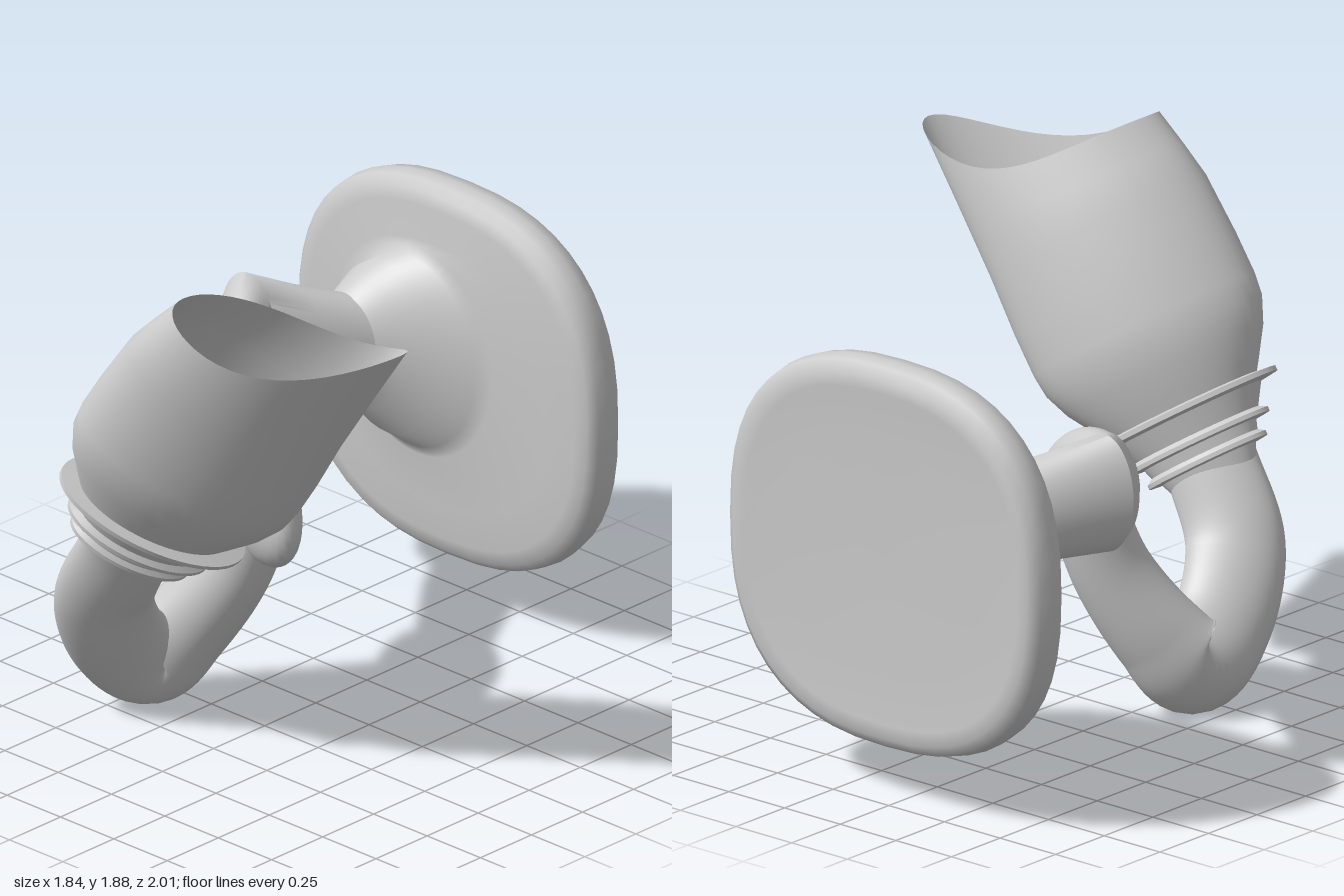
import * as THREE from 'three';
import { toCreasedNormals } from 'three/addons/utils/BufferGeometryUtils.js';

const N = 48;
const V = (x, y, z) => new THREE.Vector3(x, y, z);
const grey = (side = THREE.FrontSide) => new THREE.MeshStandardMaterial({ color: 0xcccccc, side });

// Skin a list of closed rings; rings run counter-clockwise about the loft direction
function loft(rings) {
  const pos = [], index = [];
  rings.forEach(r => r.forEach(p => pos.push(p.x, p.y, p.z)));
  for (let i = 0; i < rings.length - 1; i++) {
    for (let j = 0; j < N; j++) {
      const a = i * N + j, b = i * N + (j + 1) % N;
      index.push(a, b, a + N, b, b + N, a + N);
    }
  }
  const g = new THREE.BufferGeometry();
  g.setAttribute('position', new THREE.Float32BufferAttribute(pos, 3));
  g.setIndex(index);
  g.computeVertexNormals();
  return g;
}

const ring = fn => Array.from({ length: N }, (_, j) => fn((j / N) * Math.PI * 2));

// Superellipse ring at constant z
function flatRing(cx, cy, z, rx, ry, n = 2) {
  const p = c => Math.sign(c) * Math.abs(c) ** (2 / n);
  return ring(t => V(cx + rx * p(Math.cos(t)), cy + ry * p(Math.sin(t)), z));
}

// Tilted frame shared by shade and collar; each ring is a skewed ellipse
const AXIS = V(0.56, 0.83, 0), ACROSS = V(0.83, -0.56, 0), SKEW = 0.6;
function shadeRing(r, heightAt, shift = 0) {
  return ring(t => V(0, 0, 0.705 + r * 0.86 * Math.sin(-t - SKEW))
    .addScaledVector(ACROSS, -0.6 + shift + r * Math.cos(t))
    .addScaledVector(AXIS, heightAt(Math.cos(t))));
}

// Tube with an elliptical section: stations are [x, y, z, half depth, half width]
function ovalTube(stations, steps) {
  const path = new THREE.CatmullRomCurve3(stations.map(([x, y, z]) => V(x, y, z)));
  const sizes = new THREE.CatmullRomCurve3(stations.map(s => V(s[3], s[4], 0)));
  return loft(Array.from({ length: steps + 1 }, (_, i) => {
    const c = path.getPoint(i / steps), size = sizes.getPoint(i / steps), T = path.getTangent(i / steps);
    const m = V(1, 0, 1).projectOnPlane(T).normalize();
    const n = T.clone().cross(m);
    return ring(t => c.clone().addScaledVector(m, size.y * Math.cos(t)).addScaledVector(n, size.x * Math.sin(t)));
  }));
}

export function createModel() {
  const model = new THREE.Group();
  const add = (name, geometry, material = grey()) => {
    const m = new THREE.Mesh(geometry, material);
    m.name = name;
    model.add(m);
    return m;
  };

  // Rounded-square wall plate [scale, z] flowing into the flared arm socket
  const plate = [[0.001, -0.985], [0.6, -0.987], [0.86, -0.995], [0.93, -1], [0.985, -0.97], [1, -0.92],
    [0.99, -0.87], [0.95, -0.842], [0.88, -0.832], [0.7, -0.823]];
  const flare = [[-0.3, 0.96, -0.812, 0.345, 0.385], [-0.32, 0.96, -0.795, 0.305, 0.35],
    [-0.38, 0.97, -0.74, 0.25, 0.315], [-0.43, 0.99, -0.68, 0.18, 0.23], [-0.46, 1.0, -0.63, 0.14, 0.175]];
  add('wallPlate', loft([
    ...plate.map(([s, z]) => flatRing(-0.21, 0.89, z, 0.71 * s, 0.69 * s, 2.5)),
    ...flare.map(f => flatRing(...f)),
  ]));

  // Bent arm: [x, y, z, half width, half height]
  const arm = [[-0.46, 1.0, -0.65, 0.14, 0.175], [-0.565, 1.035, -0.5, 0.133, 0.19],
    [-0.67, 1.07, -0.37, 0.13, 0.21], [-0.61, 1.05, -0.27, 0.13, 0.195],
    [-0.31, 0.92, 0, 0.115, 0.14], [-0.3, 0.92, 0.02, 0.001, 0.001]];
  add('bentArm', toCreasedNormals(loft(arm.map(f => flatRing(...f))), 0.9));

  // Flattened knuckle between the arm and the hook
  const knuckle = add('knuckle', new THREE.SphereGeometry(1, 40, 24));
  const d = V(0.8, -0.42, 0.36).normalize();
  const side = d.clone().cross(V(0, 1, 0)).normalize();
  const up = side.clone().cross(d);
  knuckle.quaternion.setFromRotationMatrix(new THREE.Matrix4().makeBasis(d, up, side));
  knuckle.scale.set(0.33, 0.205, 0.125);
  knuckle.position.set(-0.155, 0.83, 0.14);

  // Hooked oval tube under the shade
  add('hookTube', ovalTube([
    [-0.13, 0.76, 0.15, 0.13, 0.14], [-0.2, 0.52, 0.21, 0.14, 0.14], [-0.33, 0.3, 0.3, 0.16, 0.13],
    [-0.41, 0.195, 0.38, 0.18, 0.12], [-0.41, 0.3, 0.53, 0.175, 0.1], [-0.35, 0.53, 0.67, 0.17, 0.09],
    [-0.2, 0.78, 0.715, 0.16, 0.09]], 60));

  // Stepped collar with three thin rims: [radius, height along the axis]
  const collar = [[0.13, 0.47], [0.15, 0.53], [0.19, 0.535], [0.19, 0.55], [0.17, 0.565], [0.18, 0.6],
    [0.225, 0.605], [0.225, 0.62], [0.2, 0.635], [0.24, 0.71], [0.295, 0.718], [0.295, 0.735], [0.23, 0.745]];
  add('collar', toCreasedNormals(loft(collar.map(([r, h]) => shadeRing(r, () => h))), 0.6));

  // Open shade; its mouth dips between a tall tip and a low one
  const mouth = c => 1.715 + 0.1 * c + 0.13 * c ** 2 + 0.065 * c ** 3;
  const body = [[0.22, 0.71], [0.26, 0.78], [0.315, 0.88], [0.347, 0.97], [0.355, 1.05], [0.355, 1.2], [0.347, 1.42]];
  const rings = body.map(([r, h]) => shadeRing(r, () => h));
  rings.push(shadeRing(0.335, c => (1.42 + mouth(c)) / 2, 0.015), shadeRing(0.322, mouth, 0.034));
  add('shade', loft(rings), grey(THREE.DoubleSide));

  return model;
}
